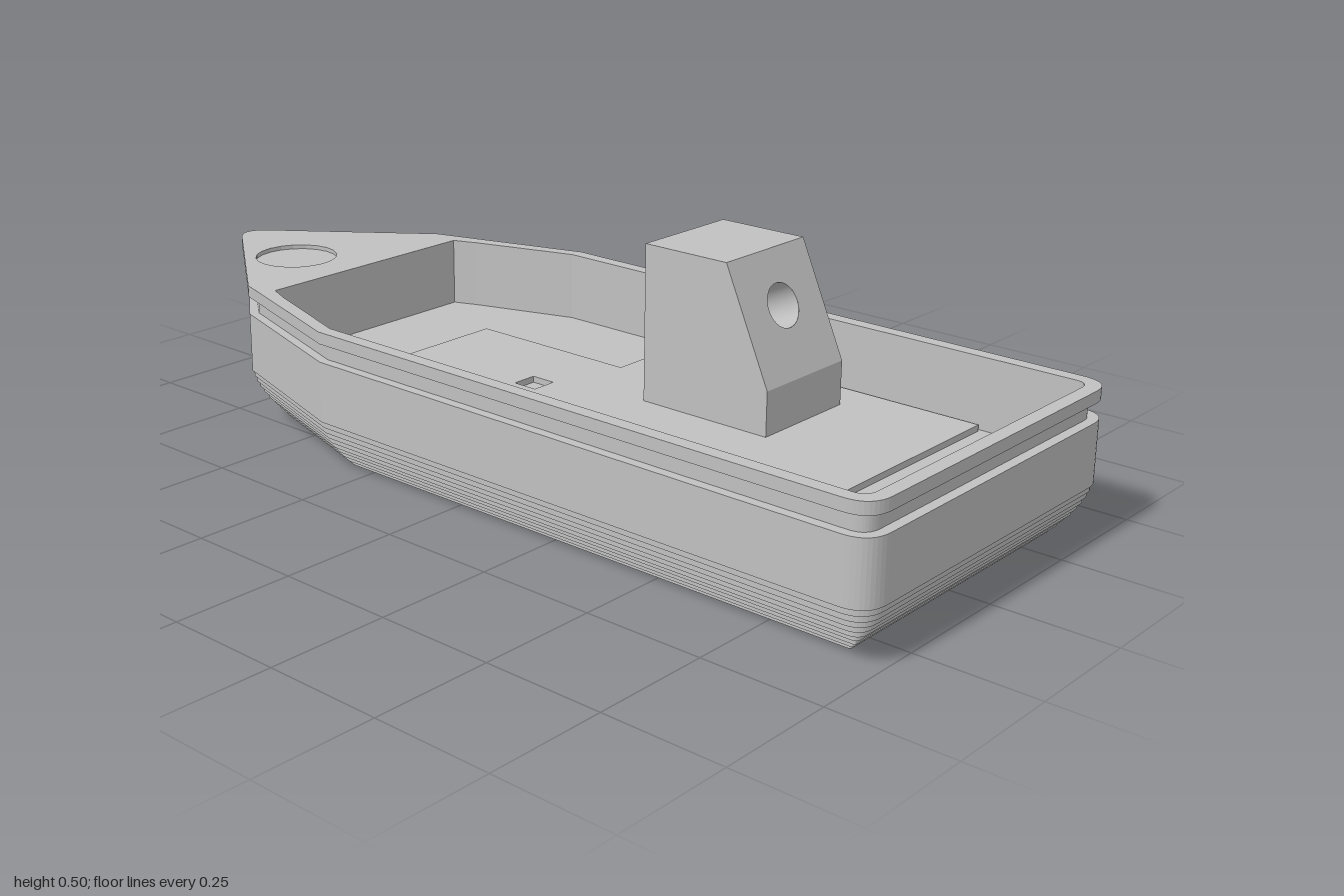
import * as THREE from 'three';

const grey = new THREE.MeshStandardMaterial({ color: 0xc0c0c0 });
grey.name = 'light grey';
const FLOOR = 0.16;

function add(parent, name, geometry) {
  const mesh = new THREE.Mesh(geometry, grey);
  mesh.name = name;
  parent.add(mesh);
  return mesh;
}

// Plan shapes are drawn as (x, -z) and extruded upward from y0 to y1
function slab(parent, name, shape, y0, y1) {
  const g = new THREE.ExtrudeGeometry(shape, { depth: y1 - y0, bevelEnabled: false, curveSegments: 10 });
  g.rotateX(-Math.PI / 2);
  g.translate(0, y0, 0);
  return add(parent, name, g);
}

// Hull plan: pointed bow, two knuckles each side, rounded stern corners
function hullPlan(inset, tip, knuckle) {
  const w = 0.39 - inset, stern = -(1 - inset);
  const r = Math.max(0.06 - inset, 0.004);
  const kx = w - (knuckle - 0.31) * 0.314;
  const s = new THREE.Shape();
  s.moveTo(-w + r, stern);
  s.lineTo(w - r, stern);
  s.quadraticCurveTo(w, stern, w, stern + r);
  s.lineTo(w, 0.31);
  s.lineTo(kx, knuckle);
  s.lineTo(0.04, tip - 0.025);
  s.quadraticCurveTo(0, tip + 0.025, -0.04, tip - 0.025);
  s.lineTo(-kx, knuckle);
  s.lineTo(-w, 0.31);
  s.lineTo(-w, stern + r);
  s.quadraticCurveTo(-w, stern, -w + r, stern);
  return s;
}

function cockpitHole() {
  const p = new THREE.Path(), w = 0.36, e = -0.97, r = 0.03;
  p.moveTo(-w + r, e);
  p.lineTo(w - r, e);
  p.quadraticCurveTo(w, e, w, e + r);
  p.lineTo(w, 0.31);
  p.lineTo(0.285, 0.54);
  p.lineTo(0.265, 0.59);
  p.lineTo(-0.265, 0.59);
  p.lineTo(-0.285, 0.54);
  p.lineTo(-w, 0.31);
  p.lineTo(-w, e + r);
  p.quadraticCurveTo(-w, e, -w + r, e);
  return p;
}

function circleHole(x, z, r) {
  return new THREE.Path().absarc(x, -z, r, 0, Math.PI * 2, true);
}

function buildHull() {
  const hull = new THREE.Group();
  hull.name = 'hull';
  // Stepped layers: the bilge narrows downward while the bow rakes back
  const insets = [0.083, 0.069, 0.057, 0.046, 0.034, 0.025, 0.017, 0.01, 0.005];
  const levels = insets.map((_, i) => i * 0.013);
  levels.push(0.117, 0.131, 0.145, FLOOR, 0.174, 0.188, 0.202, 0.216, 0.23, 0.245);
  for (let i = 0; i < levels.length - 1; i++) {
    const y = levels[i];
    const tip = 0.98 - 0.19 * Math.pow(1 - y / 0.245, 1.7);
    const knuckle = 0.66 - 0.05 * Math.pow(Math.max(0, 1 - y / 0.117), 2);
    const plan = hullPlan(insets[i] ?? 0, tip, knuckle);
    // Two round sockets in the bottom
    if (i < 4) plan.holes.push(circleHole(0, 0.59, 0.04), circleHole(0, -0.18, 0.04));
    if (y >= FLOOR) plan.holes.push(cockpitHole());
    slab(hull, y >= FLOOR ? 'hullSide' : 'hullStep', plan, y, levels[i + 1]);
  }
  // Groove below the gunwale
  const groove = hullPlan(0.021, 0.975, 0.65);
  groove.holes.push(cockpitHole());
  slab(hull, 'rubbingGroove', groove, 0.245, 0.283);
  // Gunwale and foredeck with a shallow round recess
  const rim = hullPlan(0, 1, 0.66);
  rim.holes.push(cockpitHole());
  slab(hull, 'gunwale', rim, 0.283, 0.299);
  const deck = hullPlan(0, 1, 0.66);
  deck.holes.push(cockpitHole(), circleHole(-0.06, -0.76, 0.09));
  slab(hull, 'foredeck', deck, 0.299, 0.308);
  return hull;
}

function buildPlatform(parent) {
  // Raised L-shaped floor panel with a small square opening
  const s = new THREE.Shape([
    [-0.15, -0.75], [0.352, -0.75], [0.352, -0.02], [0.145, -0.02], [0.145, 0.37], [-0.15, 0.37],
  ].map(([x, y]) => new THREE.Vector2(x, y)));
  s.holes.push(new THREE.Path([
    [-0.072, 0.022], [-0.072, 0.077], [-0.017, 0.077], [-0.017, 0.022],
  ].map(([x, y]) => new THREE.Vector2(x, y))));
  slab(parent, 'floorPlatform', s, FLOOR, FLOOR + 0.013);
}

function buildConsole() {
  const g = new THREE.Group();
  g.name = 'console';
  const x0 = 0.023, x1 = 0.267, w = x1 - x0, cx = (x0 + x1) / 2;
  const base = FLOOR + 0.01, top = 0.497, back = 0.185;
  const front = 0.487, foldY = 0.265, topZ = 0.383;

  // Side walls, drawn as (-z, y)
  const side = new THREE.Shape([
    [-front, base], [-back, base], [-back, top], [-topZ, top], [-front, foldY],
  ].map(([a, b]) => new THREE.Vector2(a, b)));
  const right = new THREE.ShapeGeometry(side).rotateY(Math.PI / 2);
  add(g, 'consoleSide', right).position.x = x1;
  const mirrored = new THREE.Shape(side.getPoints().map((p) => new THREE.Vector2(-p.x, p.y)));
  const left = new THREE.ShapeGeometry(mirrored).rotateY(-Math.PI / 2);
  add(g, 'consoleSide', left).position.x = x0;

  // Top, back and lower front
  const roof = new THREE.PlaneGeometry(w, topZ - back).rotateX(-Math.PI / 2);
  add(g, 'consoleTop', roof).position.set(cx, top, (topZ + back) / 2);
  const rear = new THREE.PlaneGeometry(w, top - base).rotateY(Math.PI);
  add(g, 'consoleBack', rear).position.set(cx, (top + base) / 2, back);
  const kick = new THREE.PlaneGeometry(w, foldY - base);
  add(g, 'consoleLowerFront', kick).position.set(cx, (foldY + base) / 2, front);

  // Sloping panel with a round bore square to its face
  const dash = new THREE.Group();
  dash.name = 'slopingPanel';
  const rise = top - foldY, run = front - topZ, half = Math.hypot(rise, run) / 2;
  dash.position.set(cx, (top + foldY) / 2, (front + topZ) / 2);
  dash.rotation.x = -Math.atan2(run, rise);
  const r = 0.045, holeY = 0.015, depth = 0.15;
  const panel = new THREE.Shape([
    [-w / 2, -half], [w / 2, -half], [w / 2, half], [-w / 2, half],
  ].map(([a, b]) => new THREE.Vector2(a, b)));
  panel.holes.push(new THREE.Path().absarc(0, holeY, r, 0, Math.PI * 2, true));
  add(dash, 'panelFace', new THREE.ShapeGeometry(panel, 32));
  // Bore wall is turned inside out so that it faces its axis
  const bore = new THREE.CylinderGeometry(r, r, depth, 32, 1, true).rotateX(Math.PI / 2);
  const idx = bore.index;
  for (let i = 0; i < idx.count; i += 3) {
    const a = idx.getX(i);
    idx.setX(i, idx.getX(i + 1));
    idx.setX(i + 1, a);
  }
  bore.computeVertexNormals();
  add(dash, 'boreWall', bore).position.set(0, holeY, -depth / 2);
  add(dash, 'boreEnd', new THREE.CircleGeometry(r, 32)).position.set(0, holeY, -depth);
  g.add(dash);
  return g;
}

export function createModel() {
  const boat = new THREE.Group();
  boat.name = 'boat';
  boat.add(buildHull());
  buildPlatform(boat);
  boat.add(buildConsole());
  return boat;
}
